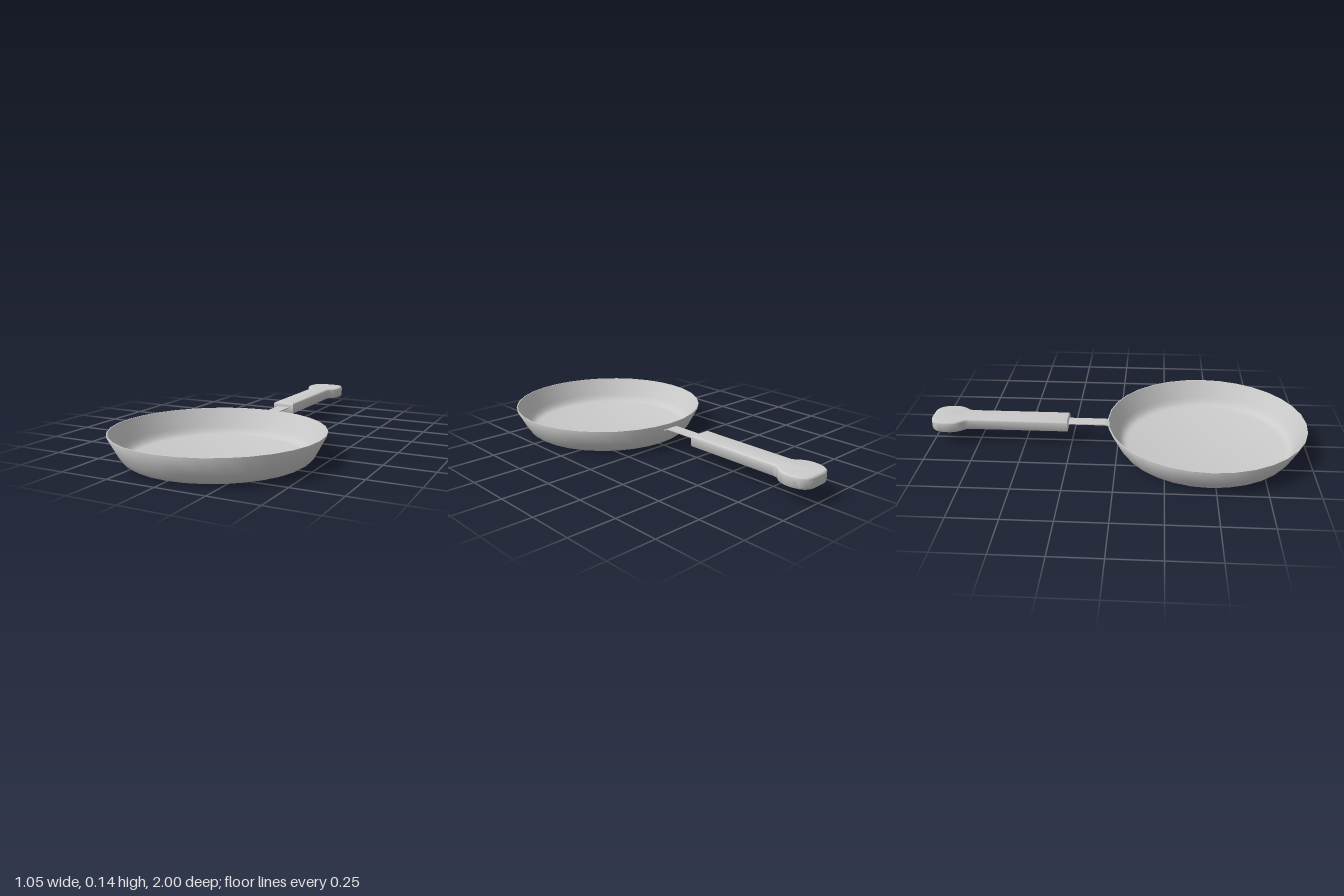
import * as THREE from 'three';
import { toCreasedNormals } from 'three/addons/utils/BufferGeometryUtils.js';

const material = new THREE.MeshStandardMaterial({ color: 0xcccccc, side: THREE.DoubleSide });

function addPart(group, name, geometry, crease) {
  const mesh = new THREE.Mesh(toCreasedNormals(geometry, crease), material);
  mesh.name = name;
  group.add(mesh);
  return mesh;
}

// Extrudes a shape to a total height, keeping its outline, with rounded edges
function roundedExtrude(shape, height, bevel) {
  return new THREE.ExtrudeGeometry(shape, {
    depth: height - 2 * bevel, curveSegments: 8, bevelEnabled: true,
    bevelThickness: bevel, bevelSize: bevel, bevelOffset: -bevel, bevelSegments: 3,
  }).translate(0, 0, bevel);
}

export function createModel() {
  const group = new THREE.Group();
  group.name = 'fryingPan';

  // Pan: outer wall up to the rim, then down the inner wall to the floor
  const profile = [
    [0, 0], [0.425, 0], [0.442, 0.004], [0.457, 0.014], [0.469, 0.03], [0.478, 0.046],
    [0.525, 0.134], [0.524, 0.139], [0.519, 0.139],
    [0.472, 0.05], [0.462, 0.034], [0.45, 0.02], [0.437, 0.012], [0.42, 0.008], [0, 0.008],
  ].map(([x, y]) => new THREE.Vector2(x, y));
  const pan = addPart(group, 'pan', new THREE.LatheGeometry(profile, 32), 0.8);
  pan.position.z = 0.47;

  // Strap: thin metal strip, bent down where it meets the pan wall
  const side = new THREE.Shape();
  side.moveTo(0.3, 0.118);
  side.lineTo(0.075, 0.118);
  side.quadraticCurveTo(0.055, 0.118, 0.038, 0.104);
  side.lineTo(0.04, 0.1);
  side.quadraticCurveTo(0.057, 0.113, 0.075, 0.113);
  side.lineTo(0.3, 0.113);
  side.closePath();
  const strap = new THREE.ExtrudeGeometry(side, { depth: 0.07, bevelEnabled: false, curveSegments: 6 });
  strap.translate(0, 0, -0.035).rotateY(Math.PI / 2);
  addPart(group, 'handleStrap', strap, 0.6);

  // Grip: straight bar swelling into a rounded knob
  const grip = new THREE.Shape();
  grip.moveTo(-0.06, 0.265);
  grip.lineTo(0.06, 0.265);
  grip.lineTo(0.06, 0.79);
  grip.quadraticCurveTo(0.061, 0.81, 0.075, 0.825);
  grip.bezierCurveTo(0.092, 0.84, 0.105, 0.87, 0.105, 0.9);
  grip.bezierCurveTo(0.105, 0.97, 0.075, 1, 0.03, 1);
  grip.lineTo(-0.03, 1);
  grip.bezierCurveTo(-0.075, 1, -0.105, 0.97, -0.105, 0.9);
  grip.bezierCurveTo(-0.105, 0.87, -0.092, 0.84, -0.075, 0.825);
  grip.quadraticCurveTo(-0.061, 0.81, -0.06, 0.79);
  grip.closePath();
  const gripGeometry = roundedExtrude(grip, 0.06, 0.01).rotateX(-Math.PI / 2).translate(0, 0.08, 0);
  addPart(group, 'handleGrip', gripGeometry, 0.8);

  return group;
}
